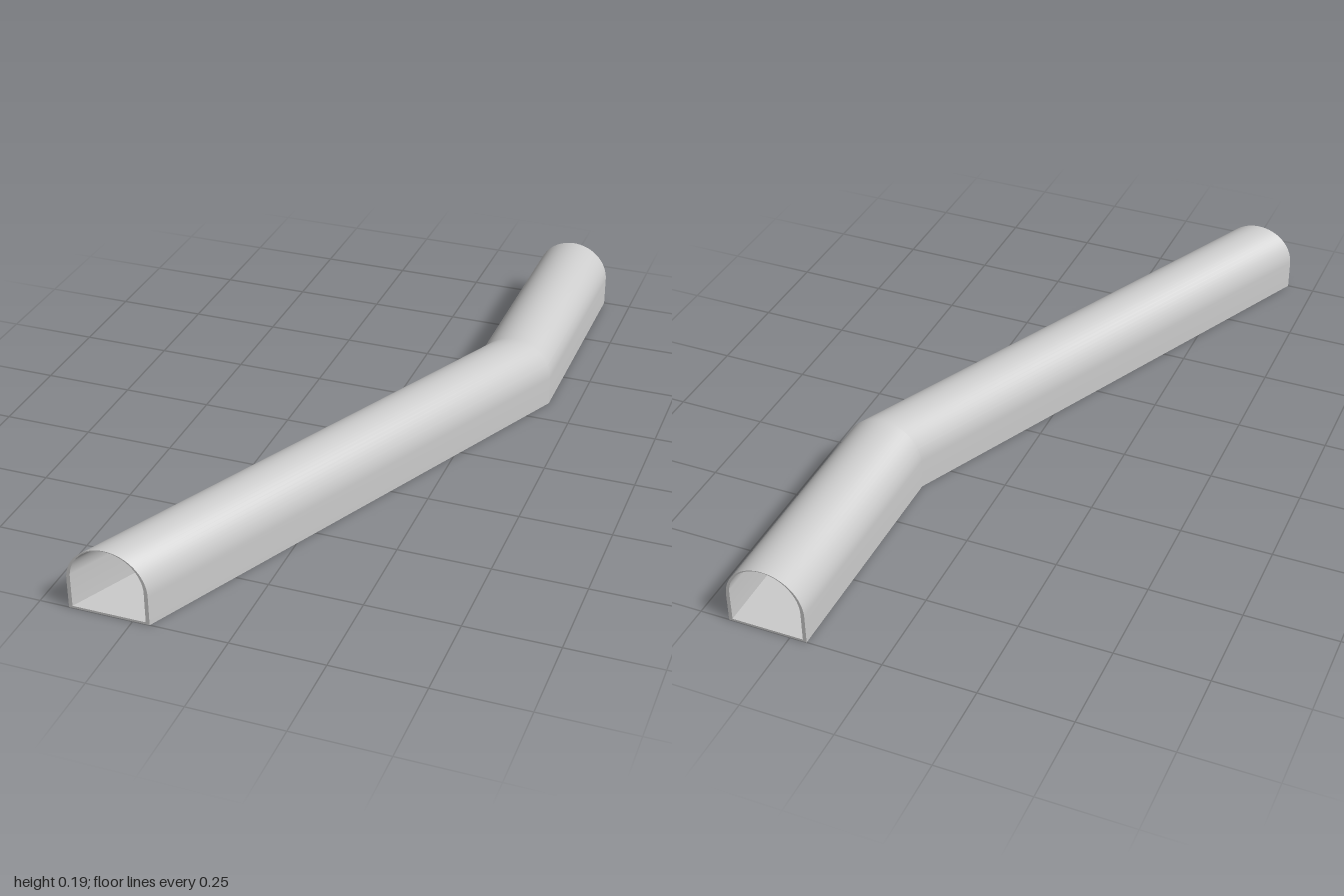
import * as THREE from 'three';
import { toCreasedNormals } from 'three/addons/utils/BufferGeometryUtils.js';

// Arch section, counter-clockwise seen from the front: flat floor, upright walls, round top
function archLoop(halfWidth, floorY, springY, topY, segments = 32) {
  const pts = [[-halfWidth, floorY], [halfWidth, floorY]];
  for (let i = 0; i <= segments; i++) {
    const a = (Math.PI * i) / segments;
    pts.push([halfWidth * Math.cos(a), springY + (topY - springY) * Math.sin(a)]);
  }
  return pts;
}

export function createModel() {
  const group = new THREE.Group();
  group.name = 'bentTunnel';
  const material = new THREE.MeshStandardMaterial({ color: 0xcccccc });

  // Section centres from front end to bend to back end
  const stations = [
    { x: -0.313, z: 1 },
    { x: 0.312, z: -0.34 },
    { x: 0.312, z: -1 },
  ];
  const outer = archLoop(0.108, 0, 0.083, 0.19);
  const inner = archLoop(0.098, 0.006, 0.09, 0.188);
  const n = outer.length;

  const at = (loop, j, s) => [loop[j % n][0] + s.x, loop[j % n][1], s.z];

  function addMesh(name, quads) {
    const pos = [];
    for (const [a, b, c, d] of quads) pos.push(...a, ...b, ...c, ...a, ...c, ...d);
    const geo = new THREE.BufferGeometry();
    geo.setAttribute('position', new THREE.Float32BufferAttribute(pos, 3));
    const mesh = new THREE.Mesh(toCreasedNormals(geo, 0.4), material);
    mesh.name = name;
    group.add(mesh);
  }

  // Skin swept along the stations, facing in or out
  function skin(loop, outward) {
    const quads = [];
    for (let i = 0; i < stations.length - 1; i++) {
      const s = stations[i], t = stations[i + 1];
      for (let j = 0; j < n; j++) {
        const q = [at(loop, j, s), at(loop, j + 1, s), at(loop, j + 1, t), at(loop, j, t)];
        quads.push(outward ? q.reverse() : q);
      }
    }
    return quads;
  }

  // Narrow rim joining the two skins at an open end
  function rim(s, front) {
    return outer.map((_, j) => {
      const q = [at(outer, j, s), at(outer, j + 1, s), at(inner, j + 1, s), at(inner, j, s)];
      return front ? q : q.reverse();
    });
  }

  addMesh('outerShell', skin(outer, true));
  addMesh('innerLining', skin(inner, false));
  addMesh('frontRim', rim(stations[0], true));
  addMesh('backRim', rim(stations[2], false));
  return group;
}
